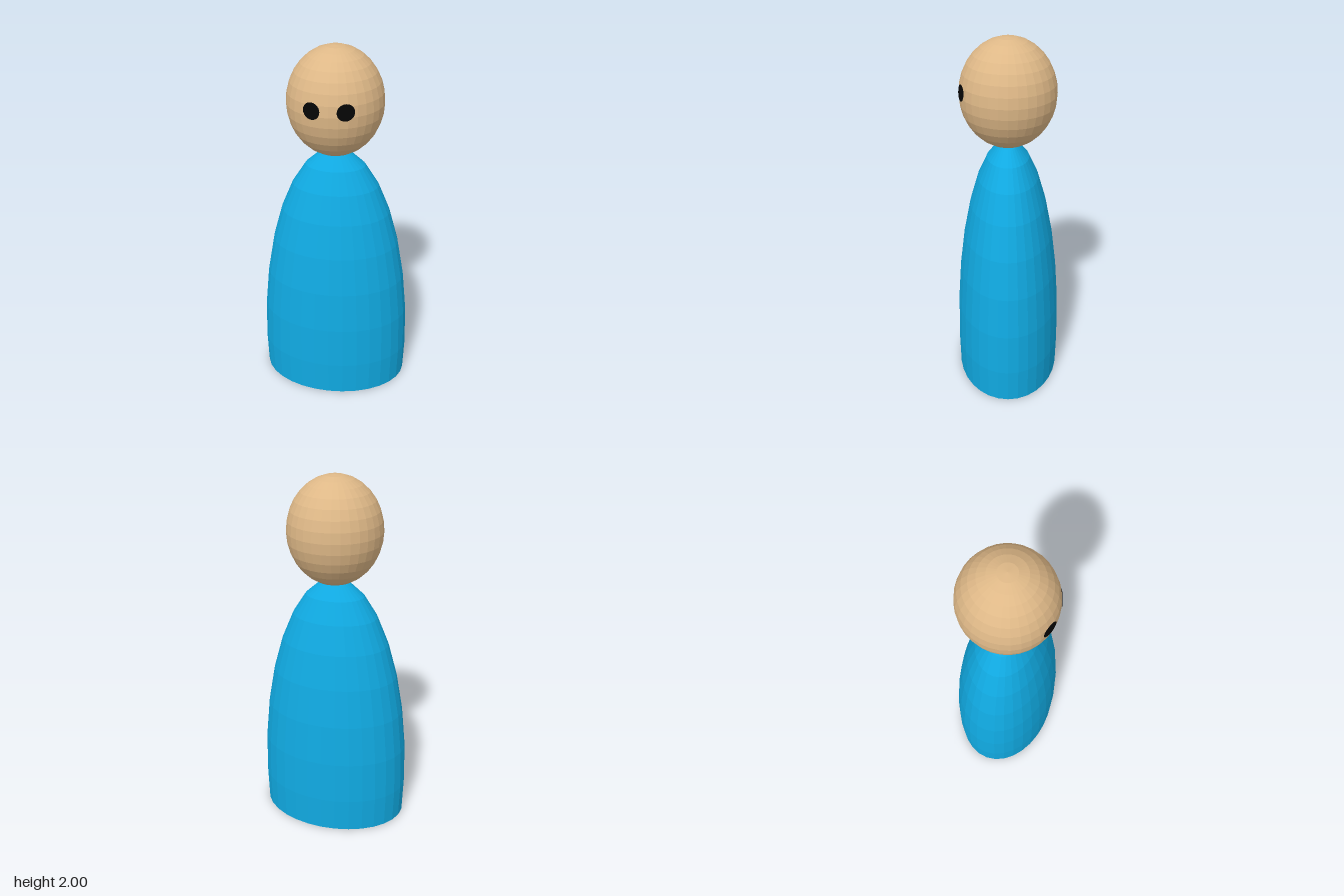
import * as THREE from 'three';

const HEAD = { rx: 0.255, ry: 0.29, rz: 0.255, y: 1.71 };
const BODY = { rx: 0.425, ry: 1.25, rz: 0.297, y: 0.2 };

function addMesh(group, name, geometry, color) {
  const material = new THREE.MeshStandardMaterial({ color, flatShading: true });
  const mesh = new THREE.Mesh(geometry, material);
  mesh.name = name;
  group.add(mesh);
  return mesh;
}

// Ellipsoid cut flat at the ground, closed by a base
function bodyGeometry() {
  const points = [new THREE.Vector2(0, 0)];
  const cut = Math.PI - Math.acos(BODY.y / BODY.ry);
  points.push(new THREE.Vector2(Math.sin(cut), 0));
  for (let i = 8; i >= 0; i--) {
    const a = (i * Math.PI) / 16;
    points.push(new THREE.Vector2(i ? Math.sin(a) : 0, BODY.y + BODY.ry * Math.cos(a)));
  }
  return new THREE.LatheGeometry(points, 32).scale(BODY.rx, 1, BODY.rz);
}

// Round disc draped just over the curved face
function eyeGeometry(cx, cy) {
  const geometry = new THREE.RingGeometry(0, 0.043, 24, 4).translate(cx, cy, 0);
  const p = geometry.attributes.position;
  for (let i = 0; i < p.count; i++) {
    const u = p.getX(i) / HEAD.rx;
    const v = (p.getY(i) - HEAD.y) / HEAD.ry;
    p.setZ(i, HEAD.rz * Math.sqrt(1 - u * u - v * v) + 0.002);
  }
  geometry.computeVertexNormals();
  return geometry;
}

export function createModel() {
  const group = new THREE.Group();
  group.name = 'pegFigure';

  addMesh(group, 'body', bodyGeometry(), 0x10aae2);

  const head = new THREE.SphereGeometry(1, 32, 16).scale(HEAD.rx, HEAD.ry, HEAD.rz);
  addMesh(group, 'head', head, 0xdeb887).position.y = HEAD.y;

  for (const [name, side] of [['leftEye', 1], ['rightEye', -1]]) {
    addMesh(group, name, eyeGeometry(side * 0.085, 1.737), 0x050505).material.side = THREE.DoubleSide;
  }
  return group;
}
